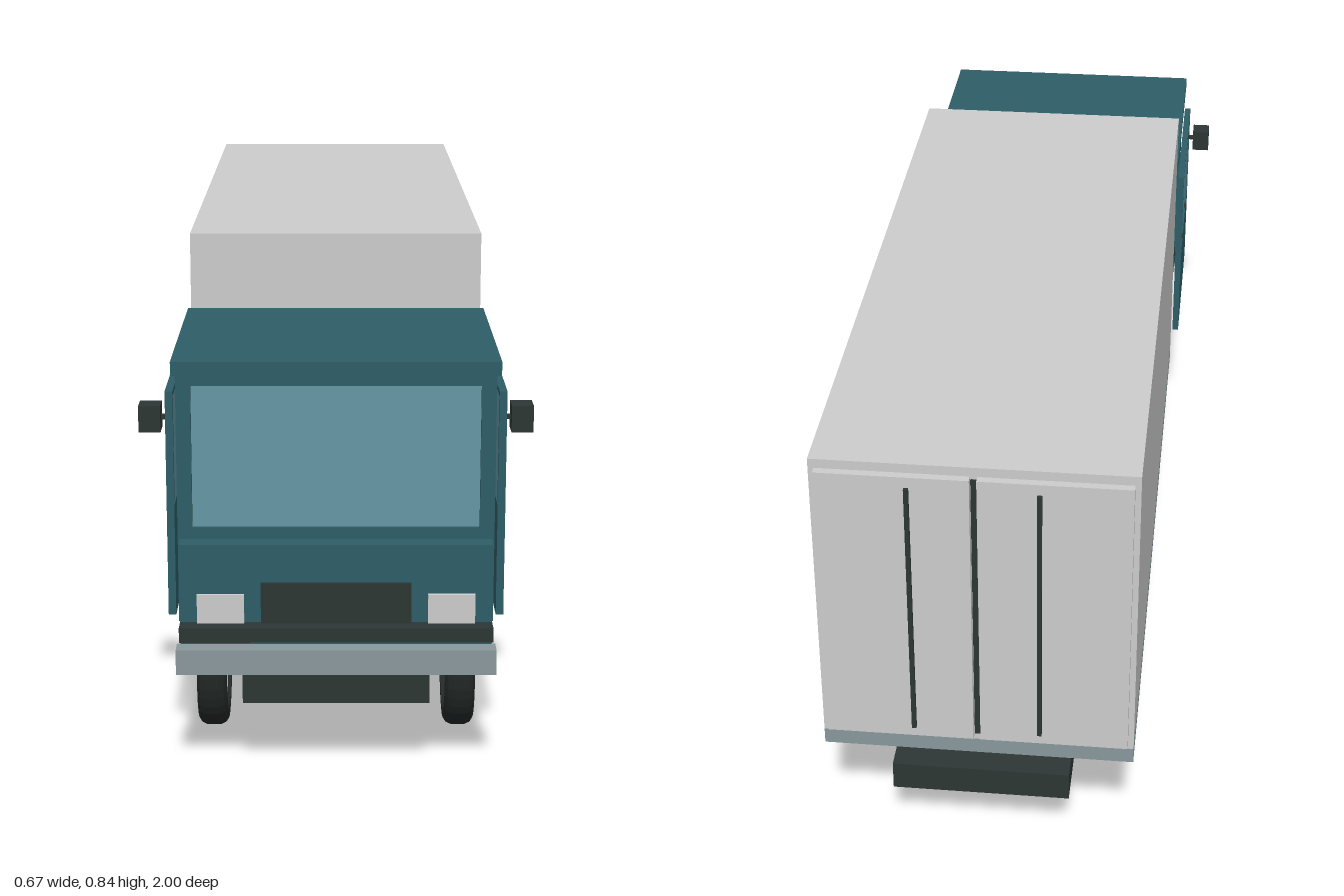
import * as THREE from 'three';

const mat = (name, color) => {
  const m = new THREE.MeshStandardMaterial({ color });
  m.name = name;
  return m;
};

export function createModel() {
  const teal = mat('teal paint', 0x2d5d67);
  const glass = mat('glass', 0x6596a4);
  const white = mat('cargo white', 0xcccccc);
  const dark = mat('dark trim', 0x2d3634);
  const grey = mat('bumper grey', 0x89989c);
  const rubber = mat('rubber', 0x222827);
  const silver = mat('spoke silver', 0xbcc4c6);

  const truck = new THREE.Group();
  truck.name = 'boxTruck';

  // Box given by its limits on each axis
  const box = (parent, name, m, [x0, x1], [y0, y1], [z0, z1]) => {
    const mesh = new THREE.Mesh(new THREE.BoxGeometry(x1 - x0, y1 - y0, z1 - z0), m);
    mesh.position.set((x0 + x1) / 2, (y0 + y1) / 2, (z0 + z1) / 2);
    mesh.name = name;
    parent.add(mesh);
    return mesh;
  };
  const rect = (Type, u0, u1, v0, v1) => {
    const p = new Type();
    p.moveTo(u0, v0);
    p.lineTo(u1, v0);
    p.lineTo(u1, v1);
    p.lineTo(u0, v1);
    p.closePath();
    return p;
  };
  // Flat panel with a rectangular opening
  const frame = (outer, hole, depth) => {
    const s = rect(THREE.Shape, ...outer);
    s.holes.push(rect(THREE.Path, ...hole));
    return new THREE.ExtrudeGeometry(s, { depth, bevelEnabled: false });
  };

  // Chassis
  box(truck, 'chassis', dark, [-0.158, 0.158], [0.128, 0.182], [-0.955, 0.97]);

  // Cargo body
  const cargo = new THREE.Group();
  cargo.name = 'cargoBody';
  truck.add(cargo);
  box(cargo, 'cargoBox', white, [-0.272, 0.272], [0.275, 0.842], [-0.98, 0.42]);
  box(cargo, 'cargoBase', grey, [-0.272, 0.272], [0.245, 0.275], [-0.98, 0.42]);
  for (const s of [-1, 1]) {
    const span = (a, b) => (s > 0 ? [a, b] : [-b, -a]);
    box(cargo, 'rearDoor', white, span(0.006, 0.262), [0.286, 0.825], [-0.994, -0.98]);
    box(cargo, 'lockRod', dark, span(0.105, 0.113), [0.307, 0.805], [-1, -0.994]);
  }
  box(cargo, 'doorSeal', dark, [-0.005, 0.005], [0.29, 0.82], [-0.984, -0.98]);

  // Cab shell, open at the sides behind the doors
  const cab = new THREE.Group();
  cab.name = 'cab';
  truck.add(cab);
  box(cab, 'roof', teal, [-0.273, 0.273], [0.69, 0.714], [0.488, 0.943]);
  box(cab, 'floor', dark, [-0.262, 0.262], [0.252, 0.274], [0.46, 0.94]);
  box(cab, 'rearWall', teal, [-0.265, 0.265], [0.262, 0.69], [0.488, 0.51]);
  const front = new THREE.Mesh(
    frame([-0.266, 0.266, 0.262, 0.69], [-0.241, 0.241, 0.427, 0.671], 0.024), teal);
  front.position.z = 0.91;
  front.name = 'windscreenFrame';
  cab.add(front);
  box(cab, 'windscreen', glass, [-0.245, 0.245], [0.41, 0.688], [0.919, 0.927]);
  box(cab, 'nosePanel', teal, [-0.262, 0.262], [0.215, 0.407], [0.934, 0.968]);
  box(cab, 'grille', dark, [-0.126, 0.126], [0.27, 0.342], [0.966, 0.975]);
  box(cab, 'bumperTrim', dark, [-0.262, 0.262], [0.247, 0.272], [0.964, 1]);
  box(cab, 'bumper', grey, [-0.268, 0.268], [0.19, 0.233], [0.966, 1]);

  // Doors, mirrors and headlights on both sides
  for (const s of [-1, 1]) {
    const span = (a, b) => (s > 0 ? [a, b] : [-b, -a]);
    box(cab, 'headlight', white, span(0.154, 0.233), [0.272, 0.322], [0.966, 0.975]);
    const door = new THREE.Mesh(
      frame([-0.902, -0.517, 0.262, 0.654], [-0.893, -0.526, 0.456, 0.645], 0.013), teal);
    door.rotation.y = Math.PI / 2;
    door.position.x = s > 0 ? 0.273 : -0.286;
    door.name = 'door';
    cab.add(door);
    box(cab, 'doorGlass', glass, span(0.276, 0.283), [0.456, 0.645], [0.526, 0.893]);
    for (const z of [0.62, 0.78]) {
      box(cab, 'doorClip', dark, span(0.28, 0.288), [0.45, 0.457], [z - 0.012, z + 0.012]);
    }
    box(cab, 'mirrorArm', dark, span(0.28, 0.298), [0.596, 0.604], [0.853, 0.861]);
    box(cab, 'mirror', dark, span(0.296, 0.333), [0.577, 0.623], [0.836, 0.878]);
  }

  // Wheels: open tyre ring, hub disc and spokes on the +x face
  const profile = [
    [0.092, -0.026], [0.109, -0.026], [0.117, -0.021], [0.121, -0.012], [0.121, 0.012],
    [0.117, 0.021], [0.109, 0.026], [0.092, 0.026], [0.092, -0.026],
  ].map(([r, y]) => new THREE.Vector2(r, y));
  const tyreGeo = new THREE.LatheGeometry(profile, 40).toNonIndexed();
  tyreGeo.computeVertexNormals();
  tyreGeo.rotateZ(-Math.PI / 2);
  const hubGeo = new THREE.CylinderGeometry(0.066, 0.066, 0.036, 32).rotateZ(-Math.PI / 2);
  const capGeo = new THREE.CylinderGeometry(0.012, 0.012, 0.008, 16).rotateZ(-Math.PI / 2);
  const spokeGeo = new THREE.BoxGeometry(0.006, 0.054, 0.009).translate(0, 0.036, 0);

  for (const z of [0.73, -0.574]) {
    for (const s of [-1, 1]) {
      const wheel = new THREE.Group();
      wheel.name = 'wheel';
      wheel.position.set(s * 0.218, 0.122, z);
      const add = (name, geo, m, x = 0, turn = 0) => {
        const mesh = new THREE.Mesh(geo, m);
        mesh.name = name;
        mesh.position.x = x;
        mesh.rotation.x = turn;
        wheel.add(mesh);
      };
      add('tyre', tyreGeo, rubber);
      add('hubDisc', hubGeo, grey);
      add('hubCap', capGeo, silver, 0.02);
      for (let i = 0; i < 5; i++) add('spoke', spokeGeo, silver, 0.02, (i * 2 * Math.PI) / 5 + 0.3);
      truck.add(wheel);
    }
  }
  return truck;
}
